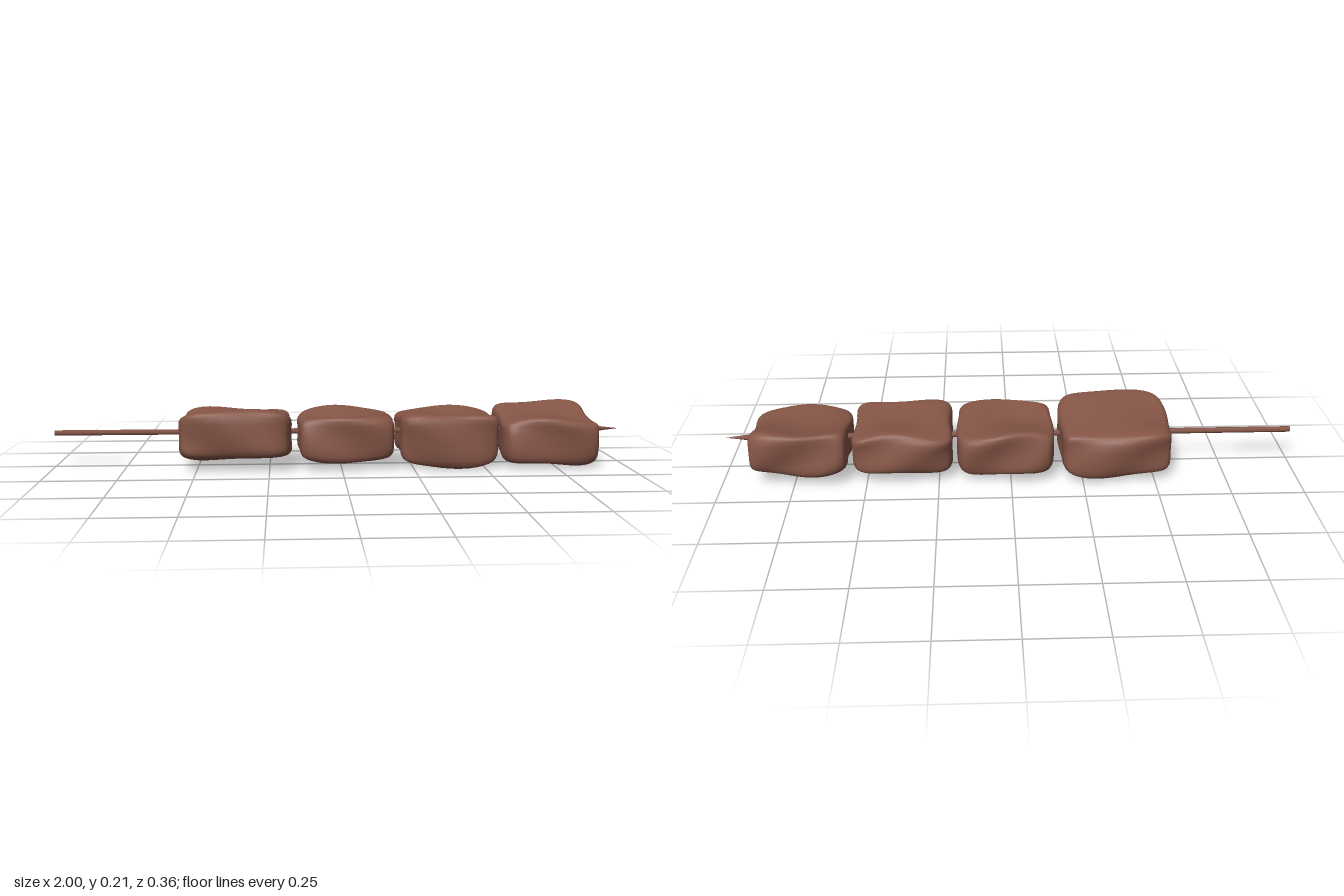
import * as THREE from 'three';
import { mergeVertices } from 'three/addons/utils/BufferGeometryUtils.js';

const AXIS_Y = 0.118, AXIS_Z = -0.005;

// Value of the parabola through (-1, back), (0, mid), (1, front)
const curve = ([front, mid, back], t) =>
  mid + (front - back) / 2 * t + ((front + back) / 2 - mid) * t * t;

// Rounded block whose top and bottom sag or rise from front to back
function chunkGeometry({ x, z, top, bottom, seed }) {
  const geo = new THREE.BoxGeometry(2, 2, 2, 16, 12, 16);
  geo.deleteAttribute('uv');
  geo.deleteAttribute('normal');
  const merged = mergeVertices(geo, 1e-4);
  const pos = merged.attributes.position;
  const v = new THREE.Vector3();
  const P = 6.5;
  for (let i = 0; i < pos.count; i++) {
    v.fromBufferAttribute(pos, i);
    // crowd the grid towards the edges, then round the cube
    for (const k of ['x', 'y', 'z']) v[k] = Math.sin(v[k] * Math.PI / 2);
    const n = Math.pow(Math.abs(v.x) ** P + Math.abs(v.y) ** P + Math.abs(v.z) ** P, 1 / P);
    v.divideScalar(n);
    const { x: a, y: b, z: c } = v;
    // uneven lumps and slightly dished ends
    const lump = 0.009 * Math.sin(3.1 * a + seed) * Math.sin(2.3 * c + seed * 1.7);
    const side = 0.009 * Math.sin(3.4 * a + 2.2 * b + seed * 2.1);
    const half = (x[1] - x[0]) / 2;
    const px = (x[0] + x[1]) / 2 + a * (half - 0.008 * (1 - c * c) * (1 - b * b))
      + 0.004 * a * Math.sin(4 * c + seed);
    const edge = b > 0 ? curve(top, c) : curve(bottom, c);
    const py = AXIS_Y + Math.abs(b) * (edge - AXIS_Y) * (1 - 0.1 * a * a) + lump * Math.abs(b);
    const reach = c > 0 ? z[0] : -z[1];
    const pz = AXIS_Z + c * (reach + side - 0.008 * a * a + AXIS_Z * -Math.sign(c));
    pos.setXYZ(i, px, Math.max(py, 0), pz);
  }
  merged.computeVertexNormals();
  return merged;
}

export function createModel() {
  const group = new THREE.Group();
  const brown = new THREE.MeshStandardMaterial({ color: 0x865647 });
  brown.name = 'roasted brown';

  const add = (name, geo, x = 0, y = 0, z = 0) => {
    const mesh = new THREE.Mesh(geo, brown);
    mesh.name = name;
    mesh.position.set(x, y, z);
    group.add(mesh);
  };

  // Meat chunks: z is [front, back]; top and bottom are [front, middle, back]
  [
    { x: [-0.565, -0.17], z: [0.165, -0.175], top: [0.225, 0.19, 0.19], bottom: [0.045, 0.025, 0.01], seed: 0.6 },
    { x: [-0.155, 0.19], z: [0.148, -0.165], top: [0.195, 0.172, 0.195], bottom: [0.018, 0.03, 0.018], seed: 2.4 },
    { x: [0.2, 0.55], z: [0.148, -0.16], top: [0.2, 0.18, 0.19], bottom: [-0.005, 0.018, 0.03], seed: 4.1 },
    { x: [0.56, 0.902], z: [0.148, -0.17], top: [0.178, 0.172, 0.218], bottom: [0.002, 0.015, 0.04], seed: 5.5 },
  ].forEach((chunk, i) => add(`meatChunk${i + 1}`, chunkGeometry(chunk)));

  // Hexagonal stick and its pointed tip
  const stick = new THREE.CylinderGeometry(0.01, 0.01, 1.92, 6).rotateZ(-Math.PI / 2);
  add('skewerStick', stick, -0.04, AXIS_Y, AXIS_Z);
  const tip = new THREE.ConeGeometry(0.01, 0.08, 6).rotateZ(-Math.PI / 2);
  add('skewerTip', tip, 0.96, AXIS_Y, AXIS_Z);

  return group;
}
